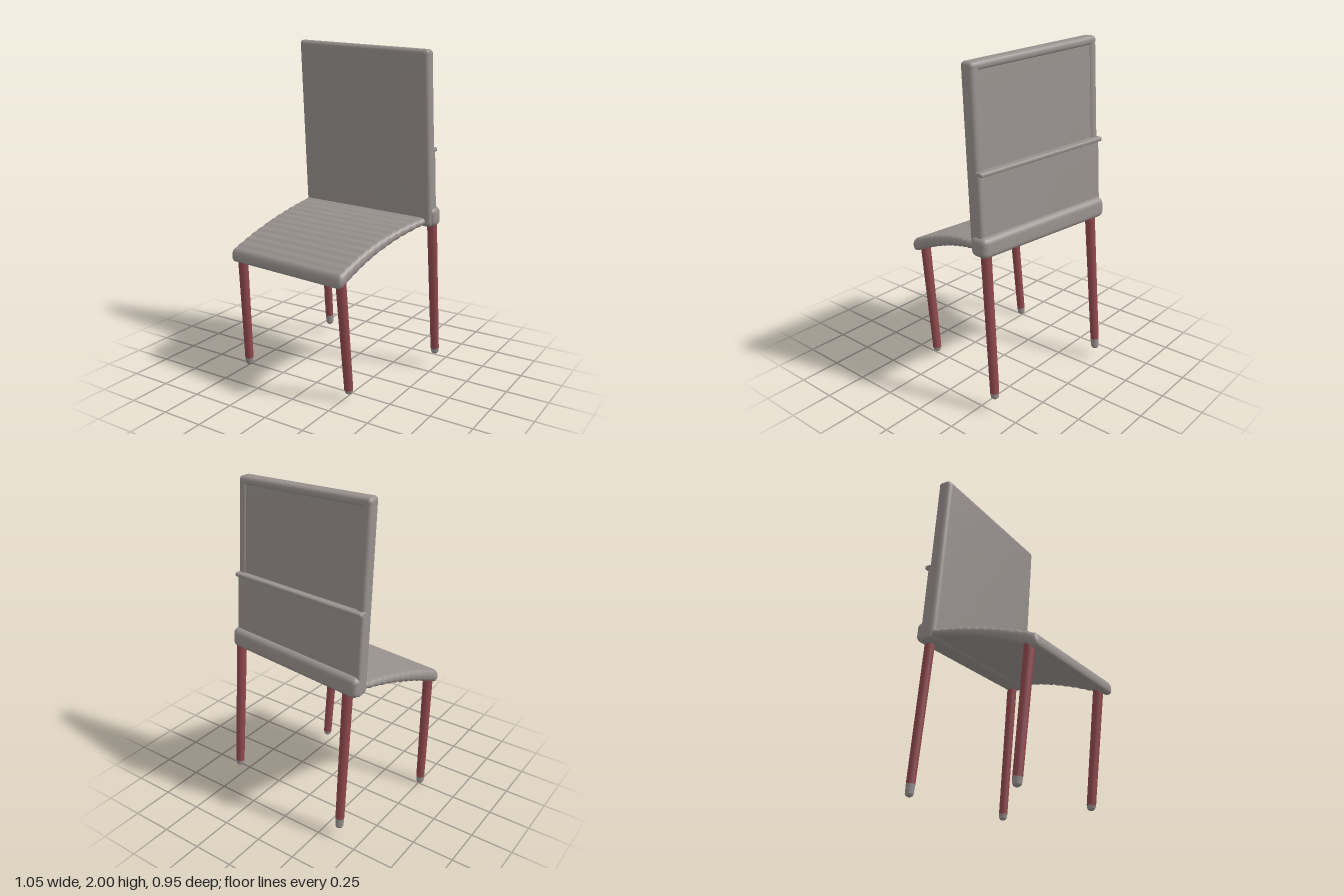
import * as THREE from 'three';
import { mergeVertices } from 'three/addons/utils/BufferGeometryUtils.js';

const fabric = new THREE.MeshStandardMaterial({ color: 0x98918e });
fabric.name = 'warm grey fabric';
const legPaint = new THREE.MeshStandardMaterial({ color: 0x90494d });
legPaint.name = 'dull red legs';

const lerp = THREE.MathUtils.lerp;
const clamp = THREE.MathUtils.clamp;

// Rounded block between two corners, bent into place by a warp rule
function block(name, min, max, r, segs, warp) {
  const n = segs.map((s) => s + 6);
  let g = new THREE.BoxGeometry(1, 1, 1, ...n);
  const pos = g.attributes.position;
  const p = new THREE.Vector3();
  const inner = new THREE.Vector3();
  for (let i = 0; i < pos.count; i++) {
    p.fromBufferAttribute(pos, i);
    for (let a = 0; a < 3; a++) {
      const k = Math.round((p.getComponent(a) + 0.5) * n[a]);
      const lo = min[a] + r, hi = max[a] - r;
      let c = lerp(lo, hi, (k - 3) / segs[a]);
      if (k < 3) c = min[a] + (r * k) / 3;
      if (k > n[a] - 3) c = max[a] - (r * (n[a] - k)) / 3;
      p.setComponent(a, c);
      inner.setComponent(a, clamp(c, lo, hi));
    }
    p.sub(inner).setLength(r).add(inner);
    pos.setXYZ(i, ...warp(p.x, p.y, p.z));
  }
  g.deleteAttribute('normal');
  g.deleteAttribute('uv');
  g = mergeVertices(g, 1e-5);
  g.computeVertexNormals();
  const mesh = new THREE.Mesh(g, fabric);
  mesh.name = name;
  return mesh;
}

// Seat: arched, thinner to the rear, skewed in plan, with shallow cross ripples
function warpSeat(x, y, z) {
  const u = x / 0.86, v = 1 - z / 0.68;
  const ripple = 0.002 * Math.sin(v * Math.PI * 26);
  const waist = 0.03 * u * Math.sin(Math.PI * v);
  return [
    lerp(lerp(-0.53, 0.315, u), lerp(-0.44, 0.49, u), v) - waist,
    0.735 + 0.337 * v - 0.102 * v * v + y * (1.3 - 0.65 * v) + ripple,
    lerp(lerp(0.385, 0.48, u), lerp(-0.33, -0.23, u), v),
  ];
}

// Backrest: turned slightly, leaning forward, top edge falling to one side
function warpBack(x, y, z) {
  const u = x / 0.95, v = y / 1.05;
  return [
    lerp(-0.445, lerp(0.51, 0.495, v), u),
    lerp(0.93, lerp(2.0, 1.95, u), v),
    lerp(-0.383, -0.272, u) + 0.07 * v + z,
  ];
}

// Tapered round bar between two points
function bar(name, a, b, ra, rb, material) {
  const dir = new THREE.Vector3().subVectors(a, b);
  const mesh = new THREE.Mesh(new THREE.CylinderGeometry(ra, rb, dir.length(), 14), material);
  mesh.position.addVectors(a, b).multiplyScalar(0.5);
  mesh.quaternion.setFromUnitVectors(new THREE.Vector3(0, 1, 0), dir.normalize());
  mesh.name = name;
  return mesh;
}

// Leg with a grey foot tip of the given length
function leg(name, top, bottom, tip) {
  const group = new THREE.Group();
  group.name = name;
  const a = new THREE.Vector3(...top);
  const b = new THREE.Vector3(...bottom);
  const end = b.clone().lerp(a, 0.02 / a.distanceTo(b));
  const split = b.clone().lerp(a, tip / a.distanceTo(b));
  group.add(bar('legShaft', a, split, 0.03, 0.026, legPaint));
  group.add(bar('footTip', split, end, 0.026, 0.024, fabric));
  const cap = new THREE.Mesh(new THREE.SphereGeometry(0.024, 14, 8), fabric);
  cap.scale.y = 0.83;
  cap.position.copy(end);
  cap.name = 'footCap';
  group.add(cap);
  return group;
}

export function createModel() {
  const chair = new THREE.Group();
  chair.name = 'chair';

  chair.add(block('seat', [0, -0.033, 0], [0.86, 0.033, 0.68], 0.03, [8, 1, 80], warpSeat));

  // Backrest panel with raised rims; the lower rear half is thicker, ending in a seam
  const back = new THREE.Group();
  back.name = 'backrest';
  back.add(block('backPanel', [0, 0, 0.009], [0.95, 1.05, 0.085], 0.03, [8, 8, 1], warpBack));
  for (const x of [0, 0.89]) {
    back.add(block('sideRim', [x, 0, 0], [x + 0.06, 1.05, 0.08], 0.025, [1, 8, 1], warpBack));
  }
  back.add(block('topRim', [0, 1.0, 0], [0.95, 1.05, 0.08], 0.022, [8, 1, 1], warpBack));
  back.add(block('lowerPanel', [0, 0, -0.01], [0.95, 0.47, 0.07], 0.02, [8, 4, 1], warpBack));
  back.add(block('crossSeam', [0, 0.455, -0.03], [0.95, 0.48, 0.04], 0.01, [8, 1, 1], warpBack));
  back.add(block('bottomRail', [0, 0, -0.042], [0.965, 0.12, 0.07], 0.035, [8, 1, 1], warpBack));
  chair.add(back);

  chair.add(leg('frontRightLeg', [-0.482, 0.74, 0.325], [-0.505, 0.0, 0.262], 0.05));
  chair.add(leg('frontLeftLeg', [0.268, 0.74, 0.405], [0.275, 0.035, 0.325], 0.03));
  chair.add(leg('rearRightLeg', [-0.362, 0.95, -0.37], [-0.365, 0.06, -0.45], 0.07));
  chair.add(leg('rearLeftLeg', [0.478, 0.95, -0.275], [0.492, 0.085, -0.345], 0.04));
  return chair;
}
